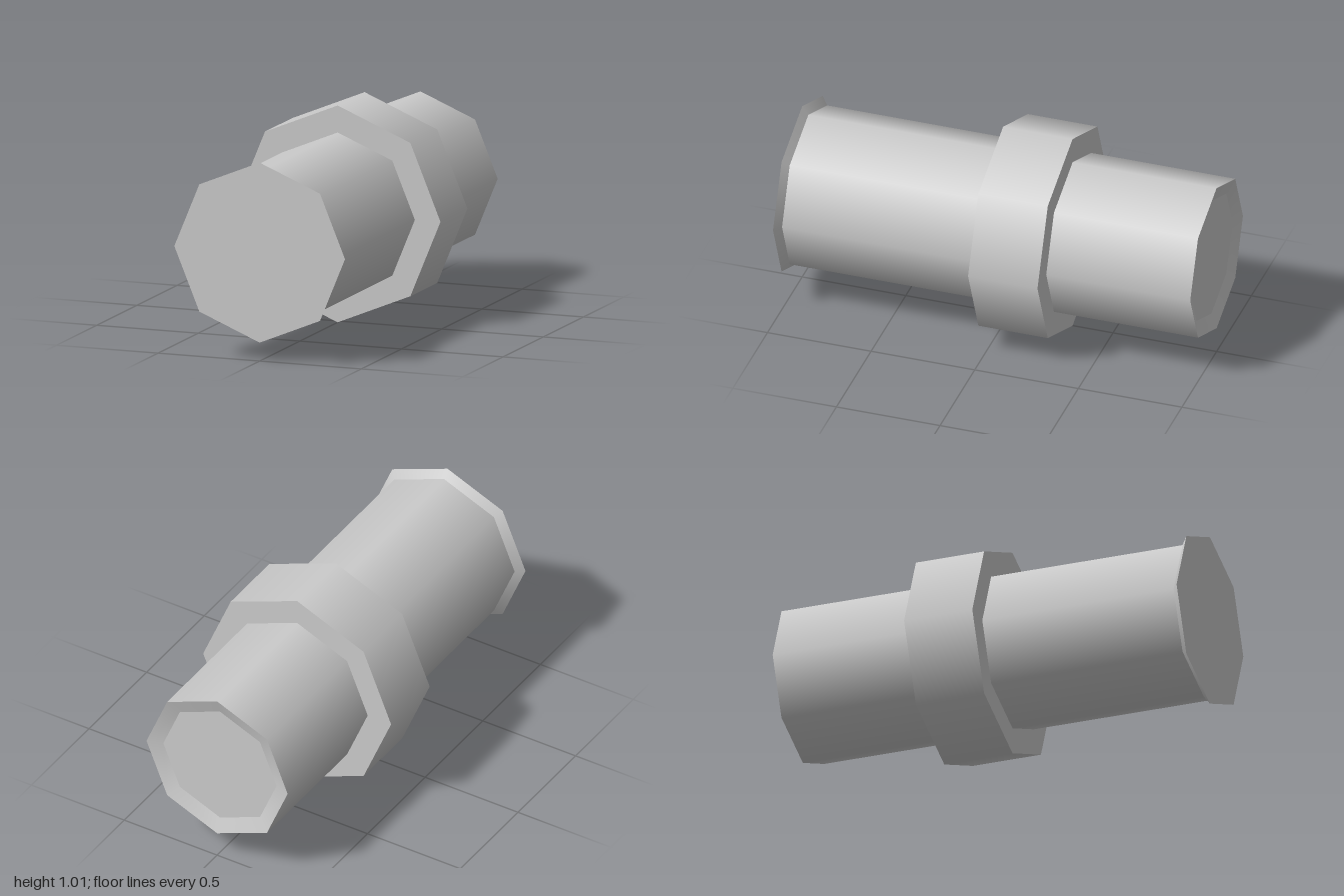
import * as THREE from 'three';

const SIDES = 8;
const CENTRE_Y = 0.506;

export function createModel() {
  const model = new THREE.Group();
  const material = new THREE.MeshStandardMaterial({ color: 0xcccccc });

  // Each part is a profile of [radius, z]; every span becomes its own
  // eight-sided band, smooth around the axis and sharp at the profile corners.
  function addPart(name, profile) {
    const part = new THREE.Group();
    part.name = name;
    for (let i = 0; i < profile.length - 1; i++) {
      const span = [profile[i], profile[i + 1]].map(([r, z]) => new THREE.Vector2(r, z));
      const geometry = new THREE.LatheGeometry(span, SIDES);
      geometry.rotateX(Math.PI / 2);
      const band = new THREE.Mesh(geometry, material);
      band.name = `${name}Band${i + 1}`;
      part.add(band);
    }
    part.position.y = CENTRE_Y;
    model.add(part);
  }

  // Shallow dished end at the back
  addPart('backRecess', [[0, -0.975], [0.305, -0.975], [0.38, -1]]);
  // Barrel behind the collar
  addPart('rearBarrel', [[0.38, -1], [0.38, -0.305]]);
  // Wide collar with flat shoulders
  addPart('collar', [[0.38, -0.305], [0.506, -0.305], [0.506, 0.03], [0.38, 0.03]]);
  // Barrel in front of the collar
  addPart('frontBarrel', [[0.38, 0.03], [0.38, 0.97]]);
  // Flared lip closed by a flat face
  addPart('frontLip', [[0.38, 0.97], [0.42, 1], [0, 1]]);

  return model;
}
